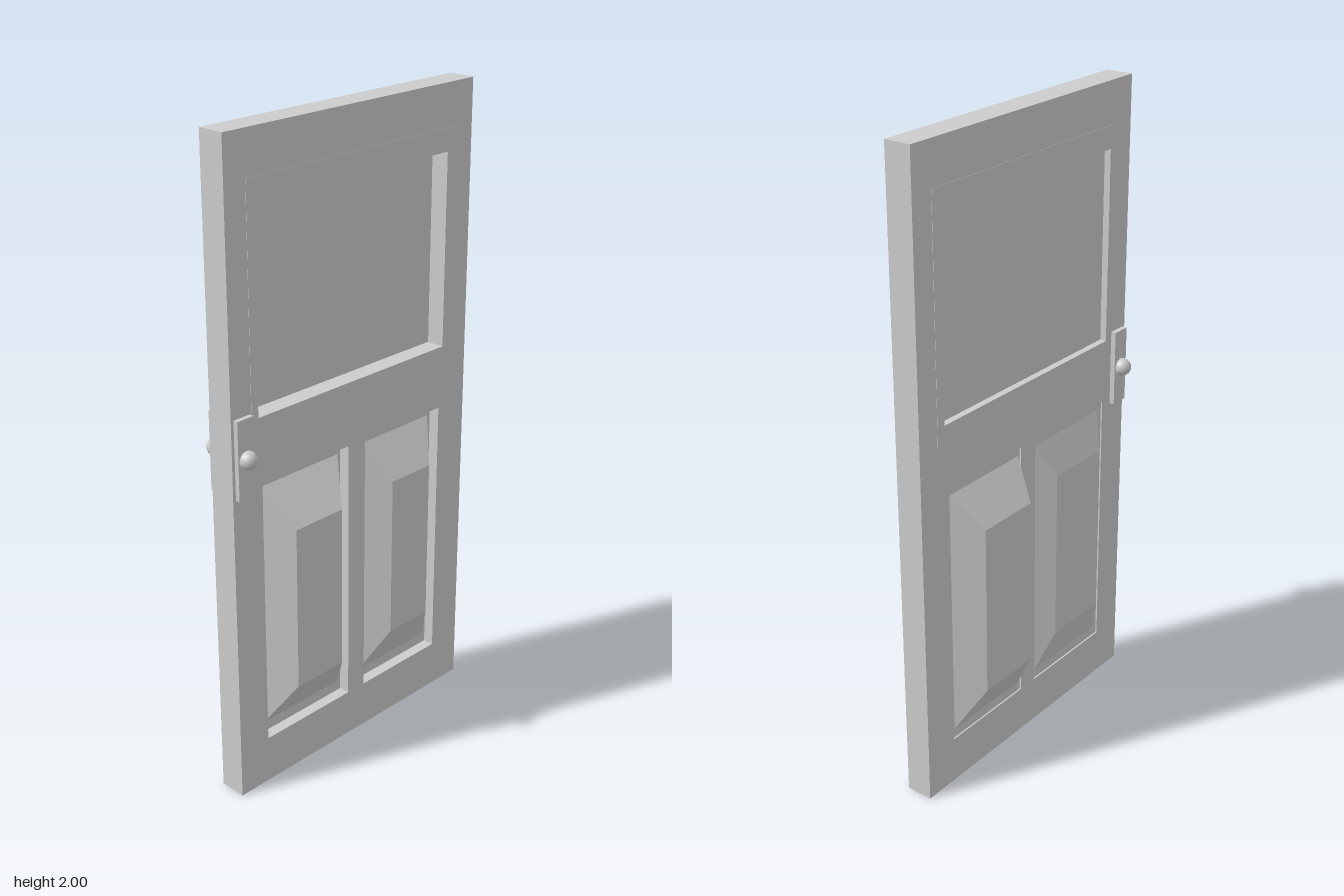
import * as THREE from 'three';

const grey = new THREE.MeshStandardMaterial({ color: 0xcccccc });
const BACK = -0.035, FACE = 0.05; // the two faces of the door leaf, along x

// Rectangles are given as [z0, z1, y0, y1]
function rectPath(PathType, [z0, z1, y0, y1]) {
  const p = new PathType();
  p.moveTo(-z1, y0);
  p.lineTo(-z0, y0);
  p.lineTo(-z0, y1);
  p.lineTo(-z1, y1);
  p.closePath();
  return p;
}

// Upright slab between x0 and x1 with rectangular holes
function slab(name, outer, holes, x0, x1) {
  const shape = rectPath(THREE.Shape, outer);
  for (const h of holes) shape.holes.push(rectPath(THREE.Path, h));
  const geo = new THREE.ExtrudeGeometry(shape, { depth: x1 - x0, bevelEnabled: false });
  geo.rotateY(Math.PI / 2);
  geo.translate(x0, 0, 0);
  const mesh = new THREE.Mesh(geo, grey);
  mesh.name = name;
  return mesh;
}

// Raised panel: a box whose base and crown faces are different rectangles
function raisedPanel(name, base, crown, xBase, xCrown) {
  const geo = new THREE.BoxGeometry(1, 1, 1).toNonIndexed();
  const pos = geo.attributes.position;
  const outward = Math.sign(xCrown - xBase);
  for (let i = 0; i < pos.count; i++) {
    const top = pos.getX(i) * outward > 0;
    const r = top ? crown : base;
    pos.setXYZ(i, top ? xCrown : xBase, pos.getY(i) > 0 ? r[3] : r[2], pos.getZ(i) > 0 ? r[1] : r[0]);
  }
  geo.computeVertexNormals();
  const mesh = new THREE.Mesh(geo, grey);
  mesh.name = name;
  return mesh;
}

export function createModel() {
  const door = new THREE.Group();
  door.name = 'door';

  // Leaf with a window opening and two lower openings
  const windowHole = [-0.38, 0.385, 1.2, 1.8];
  const frontHole = [0.03, 0.375, 0.15, 1.0];
  const rearHole = [-0.37, -0.04, 0.15, 1.0];
  door.add(slab('doorLeaf', [-0.485, 0.485, 0, 2], [windowHole, frontHole, rearHole], BACK, FACE));

  // Window: thin pane and barely proud surround
  door.add(slab('windowPane', windowHole, [], -0.015, -0.007));
  door.add(slab('windowSurround', [-0.41, 0.41, 1.13, 1.87], [windowHole], BACK - 0.001, FACE + 0.001));

  // Lower panels, raised on both faces
  door.add(slab('frontPanelCore', frontHole, [], -0.03, 0.015));
  door.add(slab('rearPanelCore', rearHole, [], -0.03, 0.015));
  door.add(raisedPanel('frontPanelLeft', [0.04, 0.36, 0.18, 0.97], [0.118, 0.302, 0.325, 0.845], 0.013, 0.108));
  door.add(raisedPanel('rearPanelLeft', [-0.358, -0.053, 0.18, 0.97], [-0.286, -0.12, 0.325, 0.845], 0.014, 0.09));
  door.add(raisedPanel('frontPanelRight', [0.034, 0.354, 0.18, 0.975], [0.087, 0.305, 0.31, 0.868], -0.03, -0.075));
  door.add(raisedPanel('rearPanelRight', [-0.36, -0.048, 0.18, 0.975], [-0.3, -0.09, 0.32, 0.863], -0.03, -0.11));

  // Lock plates and knobs on both faces
  const plate = [0.415, 0.475, 0.98, 1.22];
  door.add(slab('lockPlateLeft', plate, [], FACE, 0.065));
  door.add(slab('lockPlateRight', plate, [], -0.051, BACK));
  for (const [name, x] of [['knobLeft', 0.073], ['knobRight', -0.06]]) {
    const knob = new THREE.Mesh(new THREE.SphereGeometry(0.027, 32, 20), grey);
    knob.name = name;
    knob.position.set(x, 1.1, 0.445);
    door.add(knob);
  }
  return door;
}
